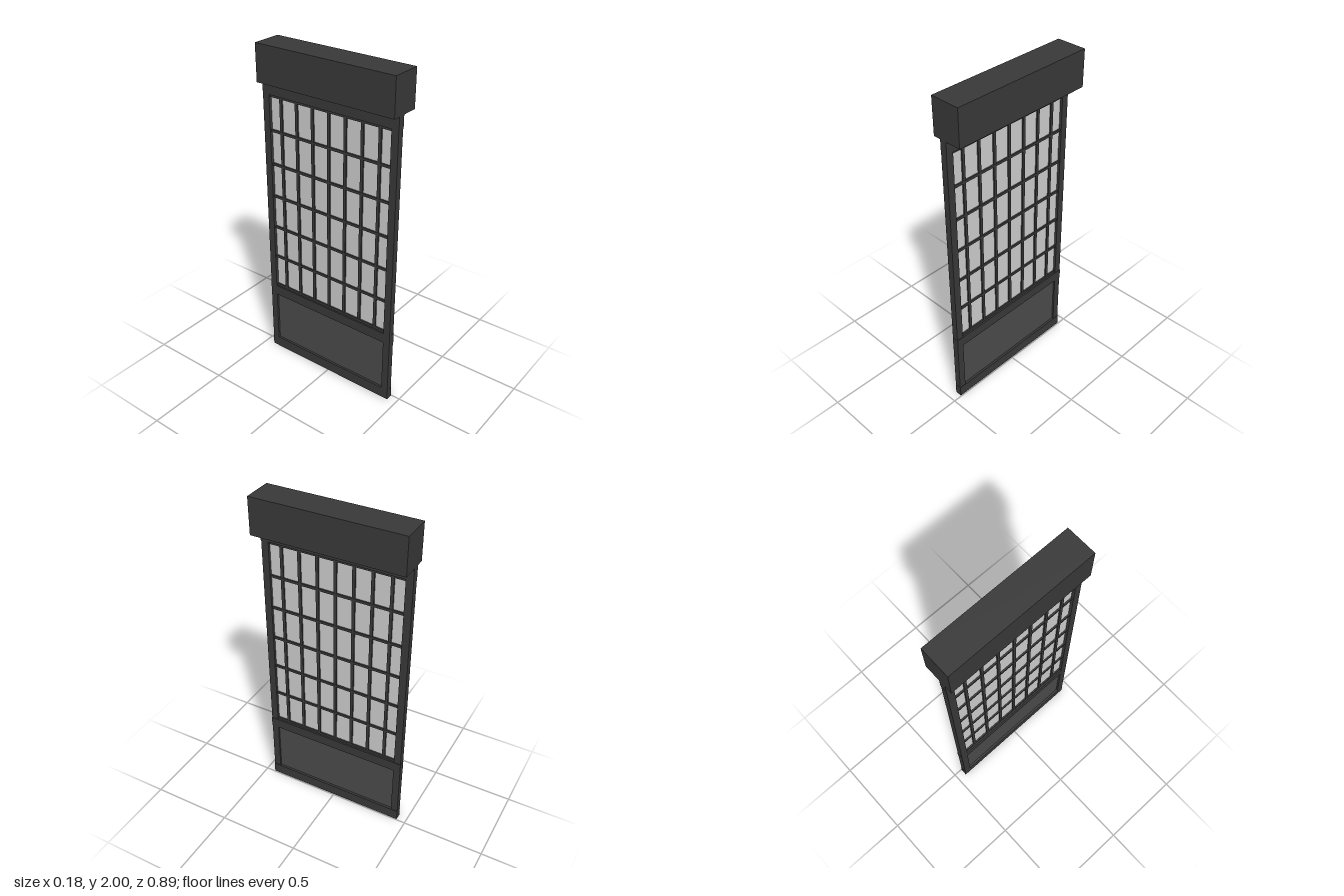
import * as THREE from 'three';

export function createModel() {
  const model = new THREE.Group();
  const wood = new THREE.MeshStandardMaterial({ color: 0x383838 });
  const board = new THREE.MeshStandardMaterial({ color: 0x4a4a4a });
  const paper = new THREE.MeshStandardMaterial({ color: 0xcccccc });

  // Box given by its lower and upper limits on each axis
  function box(name, material, [x0, x1], [y0, y1], [z0, z1], parent = model) {
    const mesh = new THREE.Mesh(new THREE.BoxGeometry(x1 - x0, y1 - y0, z1 - z0), material);
    mesh.position.set((x0 + x1) / 2, (y0 + y1) / 2, (z0 + z1) / 2);
    mesh.name = name;
    parent.add(mesh);
  }

  const half = 0.444;    // half the door width
  const inner = 0.4;     // half the opening width
  const railX = [-0.046, -0.005];
  const stileX = [-0.046, -0.008];

  // Header beam
  box('header', wood, [-0.09, 0.09], [1.783, 2], [-half, half]);

  // Door frame: two stiles and three rails
  box('frontStile', wood, stileX, [0, 1.783], [inner, half - 0.001]);
  box('backStile', wood, stileX, [0, 1.783], [-half + 0.001, -inner]);
  box('bottomRail', wood, railX, [0, 0.067], [-half, half]);
  box('middleRail', wood, railX, [0.402, 0.465], [-half, half]);
  box('topRail', wood, railX, [1.71, 1.783], [-half, half]);

  // Recessed lower board and paper screen
  box('lowerPanel', board, [-0.033, -0.019], [0.067, 0.402], [-inner, inner]);
  box('paperScreen', paper, [-0.028, -0.024], [0.465, 1.71], [-inner, inner]);

  // Lattice bars, standing proud of the paper on both sides
  const lattice = new THREE.Group();
  lattice.name = 'lattice';
  model.add(lattice);
  for (let i = 0; i < 7; i++) {
    const z = (i - 3) * 0.109;
    const y = 0.4725 + i * 0.205;
    box('verticalBar', wood, [-0.036, -0.016], [0.465, 1.71], [z - 0.009, z + 0.009], lattice);
    box('horizontalBar', wood, [-0.037, -0.015], [y - 0.0075, y + 0.0075], [-inner, inner], lattice);
  }
  return model;
}
